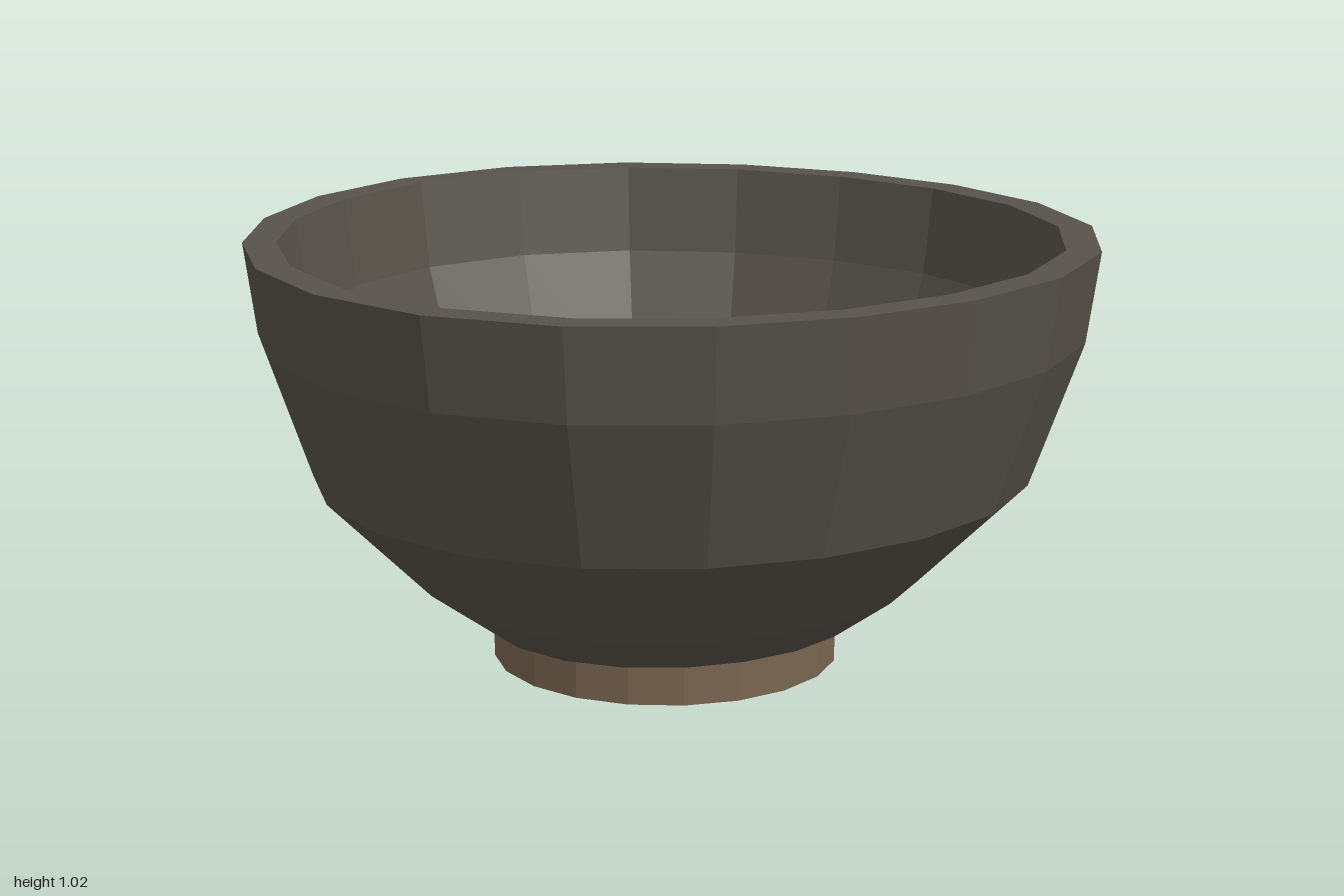
import * as THREE from 'three';

const SIDES = 20;
const AXIS_Z = -0.018;

// Revolve a [radius, height] profile; wobble makes the rim slightly three-lobed
function turned(name, profile, material, wobble) {
  const points = profile.map(([r, y]) => new THREE.Vector2(r, y));
  const geometry = new THREE.LatheGeometry(points, SIDES);
  const pos = geometry.attributes.position;
  for (let i = 0; i < pos.count; i++) {
    const x = pos.getX(i), z = pos.getZ(i);
    const k = 1 + wobble * Math.cos(3 * Math.atan2(x, z));
    pos.setX(i, x * k);
    pos.setZ(i, z * k);
  }
  const flat = geometry.toNonIndexed();
  flat.computeVertexNormals();
  const mesh = new THREE.Mesh(flat, material);
  mesh.name = name;
  mesh.position.z = AXIS_Z;
  return mesh;
}

export function createModel() {
  const glaze = new THREE.MeshStandardMaterial({ color: 0x57524a, flatShading: true });
  glaze.name = 'dark glaze';
  const clay = new THREE.MeshStandardMaterial({ color: 0x7a6550, flatShading: true });
  clay.name = 'bare clay';

  const group = new THREE.Group();
  group.name = 'bowl';

  // Outer wall, flat rim, inner wall and floor
  group.add(turned('bowlBody', [
    [0.455, 0.105], [0.6, 0.21], [0.85, 0.46], [0.97, 0.805], [1, 1.02],
    [0.92, 1.02], [0.89, 0.805], [0.77, 0.46], [0.53, 0.21], [0, 0.21],
  ], glaze, 0.018));

  // Unglazed underside
  group.add(turned('underside', [[0, 0.105], [0.455, 0.105]], clay, 0.018));

  // Hollow foot ring
  group.add(turned('footRing', [
    [0.31, 0.105], [0.31, 0], [0.413, 0], [0.413, 0.105],
  ], clay, 0));

  return group;
}
